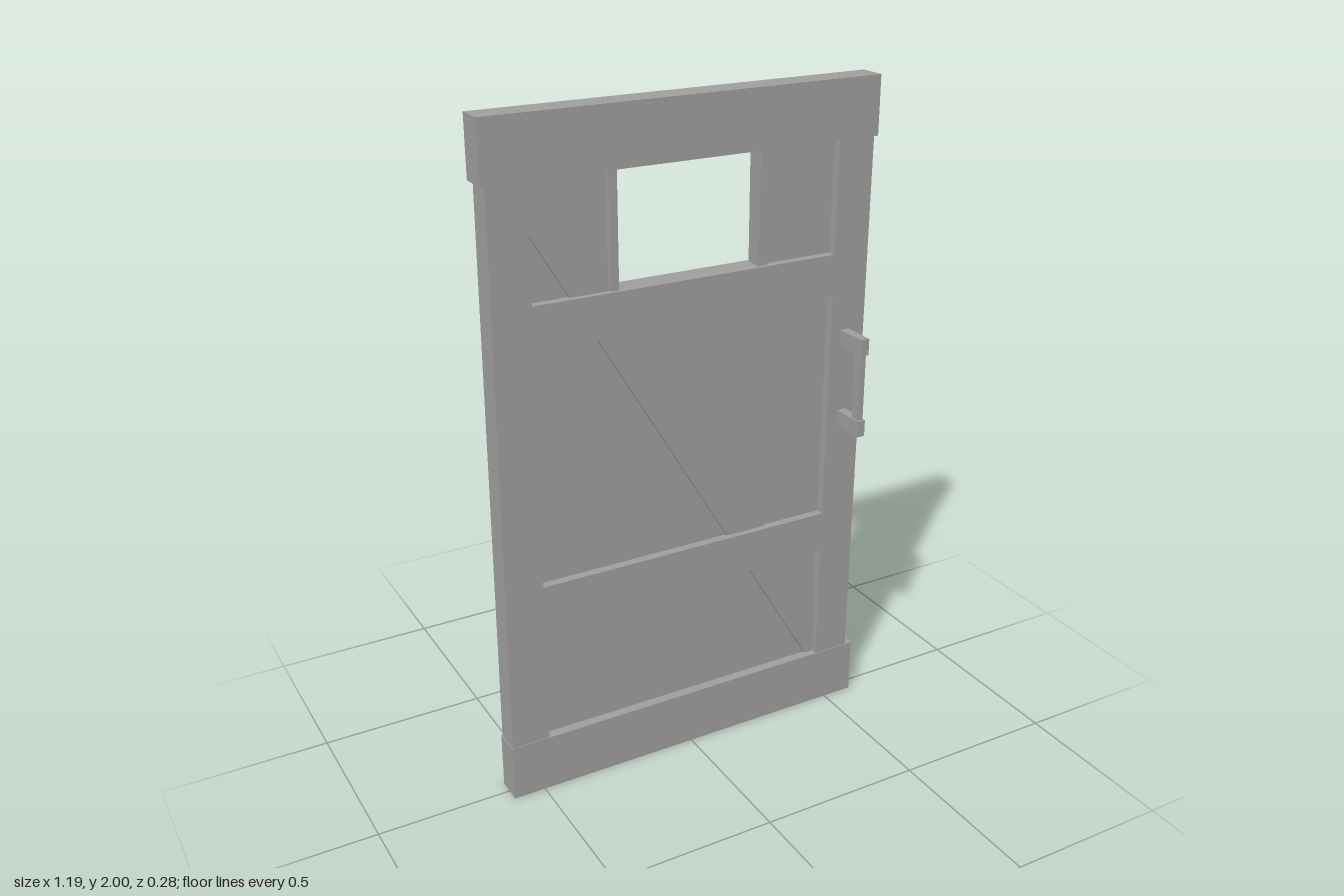
import * as THREE from 'three';

export function createModel() {
  const door = new THREE.Group();
  door.name = 'door';
  const grey = new THREE.MeshStandardMaterial({ color: 0xa0a0a0, flatShading: true });
  grey.name = 'grey';

  function add(name, geometry, parent = door) {
    const mesh = new THREE.Mesh(geometry, grey);
    mesh.name = name;
    parent.add(mesh);
    return mesh;
  }

  // Box given by its limits on each axis
  function box(name, x0, x1, y0, y1, z0, z1, parent) {
    const mesh = add(name, new THREE.BoxGeometry(x1 - x0, y1 - y0, z1 - z0), parent);
    mesh.position.set((x0 + x1) / 2, (y0 + y1) / 2, (z0 + z1) / 2);
  }

  // Flat outline extruded evenly to both sides of z = 0
  function slab(name, points, halfDepth, hole) {
    const shape = new THREE.Shape(points.map(([x, y]) => new THREE.Vector2(x, y)));
    if (hole) shape.holes.push(new THREE.Path(hole.map(([x, y]) => new THREE.Vector2(x, y))));
    const geometry = new THREE.ExtrudeGeometry(shape, { depth: halfDepth * 2, bevelEnabled: false });
    add(name, geometry.translate(0, 0, -halfDepth));
  }

  // Wide rails across the top and bottom
  box('topRail', -0.597, 0.597, 1.83, 2, -0.041, 0.041);
  box('bottomRail', -0.597, 0.597, 0, 0.175, -0.041, 0.041);

  // Slightly crooked upright stiles
  slab('rightStile', [[-0.594, 0.175], [-0.478, 0.175], [-0.47, 1.83], [-0.583, 1.83]], 0.0385);
  slab('leftStile', [[0.46, 0.175], [0.575, 0.175], [0.585, 1.83], [0.47, 1.83]], 0.0385);

  // Middle rails between the stiles
  for (const [y0, y1] of [[0.547, 0.677], [1.377, 1.503]]) {
    box('middleRail', -0.5, 0.5, y0, y1, -0.038, 0.038);
  }

  // Recessed panel with the window opening
  slab('panel', [[-0.49, 0.16], [0.49, 0.16], [0.49, 1.85], [-0.49, 1.85]], 0.012,
    [[-0.225, 1.49], [-0.225, 1.84], [0.23, 1.84], [0.23, 1.49]]);

  // Window posts
  box('windowPost', -0.24, -0.215, 1.5, 1.835, -0.027, 0.027);
  box('windowPost', 0.22, 0.247, 1.5, 1.835, -0.027, 0.027);

  // Diagonal brace, trimmed by the frame
  slab('brace', [[-0.42, 1.83], [-0.485, 1.83], [-0.485, 1.72], [0.431, 0.175], [0.475, 0.175],
    [0.475, 0.32], [-0.222, 1.495], [-0.235, 1.515]], 0.02);

  // Pull handles on both sides
  for (const side of [1, -1]) {
    const handle = new THREE.Group();
    handle.name = side > 0 ? 'frontHandle' : 'backHandle';
    for (const y of [0.965, 1.22]) {
      box('handleMount', -0.0135, 0.0135, y, y + 0.05, 0.03, 0.142, handle);
    }
    box('handleGrip', -0.009, 0.009, 1.01, 1.225, 0.105, 0.136, handle);
    handle.position.x = 0.516;
    if (side < 0) handle.rotation.y = Math.PI;
    door.add(handle);
  }

  return door;
}
